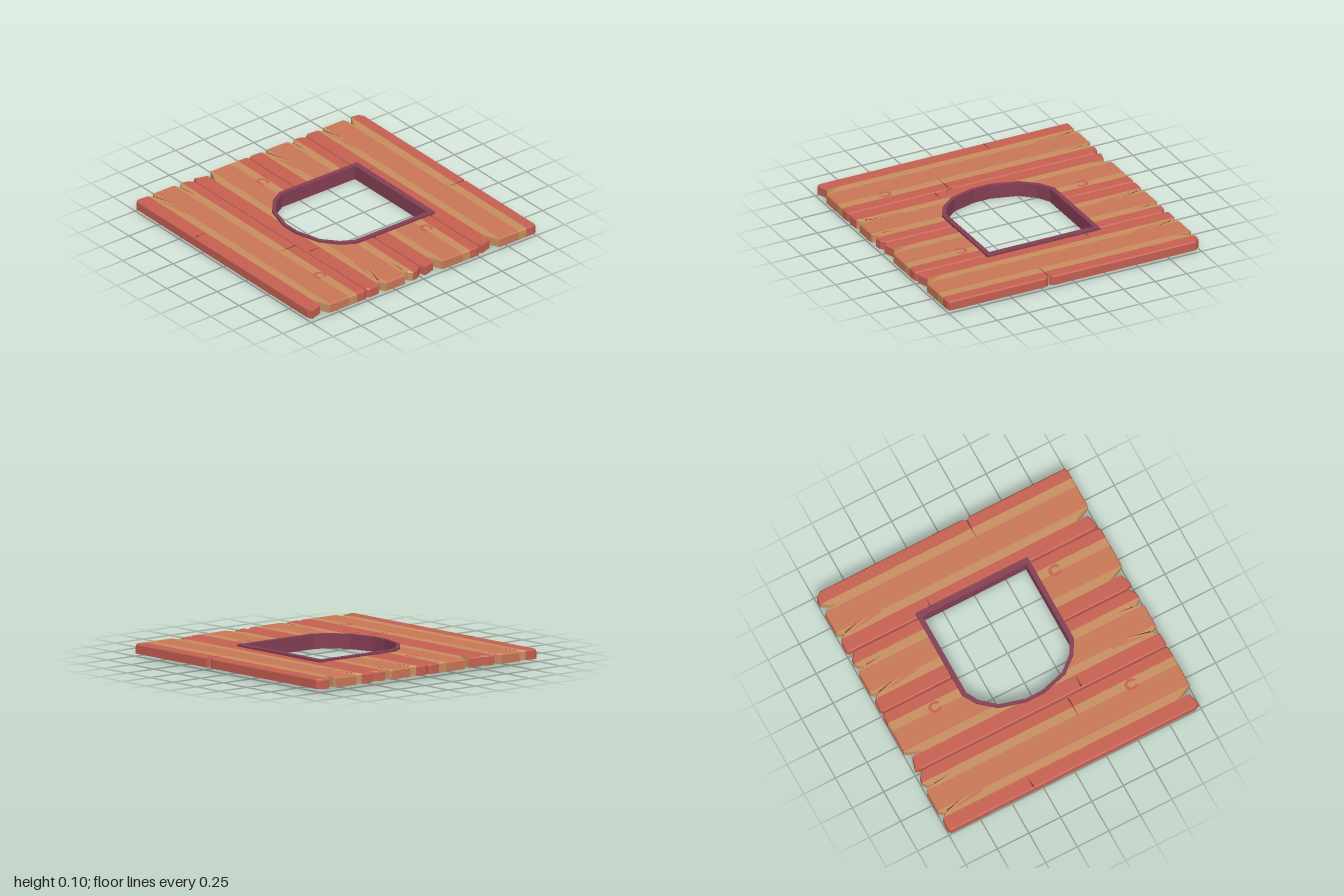
import * as THREE from 'three';

const mat = (name, color, side = THREE.FrontSide) => {
  const m = new THREE.MeshStandardMaterial({ color, side });
  m.name = name;
  return m;
};

const Y0 = 0.02, Y1 = 0.09, C = 0.009;   // plank underside, top, chamfer
const W = 0.494, PITCH = 0.502;          // plank width and spacing

// straight-line interpolation along a list of [u, value]
function lerpLine(pts, u) {
  for (let i = 1; i < pts.length; i++) {
    const [a, va] = pts[i - 1], [b, vb] = pts[i];
    if (u <= b) return va + (vb - va) * (Math.max(u, a) - a) / (b - a);
  }
  return pts[pts.length - 1][1];
}

// worn ends of a plank: [distance across the plank, z]
const BACK = [[0, -0.985], [0.02, -1], [0.1, -0.995], [0.138, -0.955], [0.16, -1], [0.33, -1],
  [0.345, -0.985], [0.36, -0.935], [0.378, -0.975], [0.405, -0.998], [0.45, -0.99], [W, -0.955]];
const BACK_SPLIT = [[0, -0.985], [0.02, -1], [0.1, -0.995], [0.138, -0.955], [0.16, -1], [0.335, -1],
  [0.347, -0.97], [0.35, -0.89], [0.38, -0.95], [0.41, -1], [0.46, -0.995], [W, -0.955]];
const FRONT = [[0, 0.95], [0.015, 0.992], [0.105, 0.965], [0.108, 0.87], [0.165, 1], [0.47, 1], [W, 0.99]];
const flip = pts => pts.map(([u, z]) => [u, -z]);

// half width of the opening along world x, lying inside the frame wall
const HOLE = [[-0.4, 0.07], [-0.35, 0.255], [-0.25, 0.37], [-0.155, 0.43], [0.51, 0.43]];
// small nick in the side of an outer plank
const NICK = [[W - 0.022, 0.002], [W - 0.008, 0.014], [W, 0.034]];

// One plank: cross-sections lofted across its width, sorted into colour stripes
function makePlank(x0, back, front, gap, gapZ, mats) {
  const stripes = [[0.105, 'red'], [0.168, 'tan'], [0.338, 'orange'], [0.405, 'tan'], [W, 'red']];
  const cuts = [0, C, W - C, W, ...[back, front, gap, stripes].flatMap(l => l.map(p => p[0]))]
    .filter(u => u >= 0 && u <= W).map(u => +u.toFixed(4));
  const us = [...new Set(cuts)].sort((a, b) => a - b);
  const pos = { red: [], orange: [], tan: [] };

  const section = (u, part) => {
    const half = lerpLine(gap, u);
    const zb = part === 2 ? gapZ + half : lerpLine(back, u);
    const zf = part === 1 ? gapZ - half : lerpLine(front, u);
    const y = u === 0 || u === W ? Y1 - C : Y1;
    const cb = part === 2 ? 0 : C, cf = part === 1 ? 0 : C;
    return [[zb, Y0], [zb, y - cb], [zb + cb, y], [zf - cf, y], [zf, y - cf], [zf, Y0]]
      .map(([z, yy]) => [x0 + u, yy, z]);
  };

  for (let i = 1; i < us.length; i++) {
    const a = us[i - 1], b = us[i], mid = (a + b) / 2;
    const out = pos[stripes.find(s => mid < s[0])[1]];
    const tri = (...p) => p.forEach(v => out.push(...v));
    const open = mid > gap[0][0] && mid < gap[gap.length - 1][0];
    for (const part of open ? [1, 2] : [0]) {
      const A = section(a, part), B = section(b, part);
      for (let k = 0; k < 6; k++) {
        const j = (k + 1) % 6;
        tri(A[k], A[j], B[j]);
        tri(A[k], B[j], B[k]);
      }
      for (let k = 1; k < 5; k++) {
        if (a === 0) tri(A[0], A[k + 1], A[k]);
        if (b === W) tri(B[0], B[k], B[k + 1]);
      }
    }
  }

  const plank = new THREE.Group();
  plank.name = 'plank';
  for (const key in pos) {
    const g = new THREE.BufferGeometry();
    g.setAttribute('position', new THREE.Float32BufferAttribute(pos[key], 3));
    g.computeVertexNormals();
    const m = new THREE.Mesh(g, mats[key]);
    m.name = key + 'Stripes';
    plank.add(m);
  }
  return plank;
}

// flat plate lying on the planks, from [x, z] corners
function makePlate(name, pts, y, material) {
  const g = new THREE.ShapeGeometry(new THREE.Shape(pts.map(([x, z]) => new THREE.Vector2(x, -z))));
  const m = new THREE.Mesh(g.rotateX(-Math.PI / 2), material);
  m.position.y = y;
  m.name = name;
  return m;
}

export function createModel() {
  const root = new THREE.Group();
  root.name = 'plankPanel';
  const mats = {
    red: mat('red wood', 0xc66051),
    orange: mat('orange wood', 0xc97857),
    tan: mat('tan wood', 0xc88f5e),
  };
  const dark = mat('dark crack', 0x7a3a30);
  const plum = mat('plum frame', 0x853f55);

  // four planks; the second is turned end for end
  for (let i = 0; i < 4; i++) {
    const x0 = -1 + PITCH * i, s = i === 1 ? -1 : 1;
    const holed = i === 1 || i === 2;
    const back = s < 0 ? flip(FRONT) : i === 3 ? BACK_SPLIT : BACK;
    const front = s < 0 ? flip(BACK) : FRONT;
    const gap = holed ? HOLE.map(([x, h]) => [x - x0, h]) : NICK;
    const plank = makePlank(x0, back, front, gap, holed ? 0 : 0.2, mats);
    const at = pts => pts.map(([u, z]) => [x0 + u, z * s]);

    // splits running in from the ends and sides
    plank.add(makePlate('grainWedge', at([[0.125, -0.92], [0.15, -0.65], [0.19, -0.65]]), Y1 + 0.001, mats.orange));
    plank.add(makePlate('endCrack', at([[0.132, -0.945], [0.144, -0.945], [0.176, -0.79]]), Y1 + 0.002, dark));
    if (i < 3) plank.add(makePlate('endCrack', at([[0.356, -0.925], [0.364, -0.925], [0.37, -0.805]]), Y1 + 0.002, dark));
    if (i !== 2) plank.add(makePlate('sideCrack', at([[0.01, -0.332], [0.01, -0.318], [0.1, -0.325]]), Y1 + 0.002, dark));
    if (!holed) plank.add(makePlate('sideCrack', at([[W - 0.02, 0.195], [W - 0.02, 0.207], [W - 0.18, 0.201]]), Y1 + 0.002, dark));
    root.add(plank);
  }

  // open ring knots in the grain
  for (const [x, z] of [[-0.14, -0.65], [0.36, 0.57], [-0.64, 0.64]]) {
    const g = new THREE.RingGeometry(0.024, 0.043, 8, 1, -1.1, 5.3).rotateX(-Math.PI / 2);
    const knot = new THREE.Mesh(g, mats.red);
    knot.scale.z = 1.2;
    knot.position.set(x, Y1 + 0.002, z);
    knot.name = 'knot';
    root.add(knot);
  }

  // arched frame lining the opening
  const arch = half => {
    const pts = half.map(([x, z]) => new THREE.Vector2(x, z));
    return [...pts, ...pts.slice().reverse().map(p => new THREE.Vector2(p.x, -p.y))];
  };
  const shape = new THREE.Shape(arch([[0.535, 0.445], [-0.155, 0.445], [-0.258, 0.385], [-0.357, 0.268], [-0.413, 0.07]]));
  shape.holes.push(new THREE.Path(arch([[0.49, 0.41], [-0.155, 0.41], [-0.243, 0.36], [-0.337, 0.252], [-0.39, 0.065]])));
  const frame = new THREE.Mesh(
    new THREE.ExtrudeGeometry(shape, { depth: 0.105, bevelEnabled: false }).rotateX(-Math.PI / 2), plum);
  frame.name = 'openingFrame';
  root.add(frame);
  return root;
}
